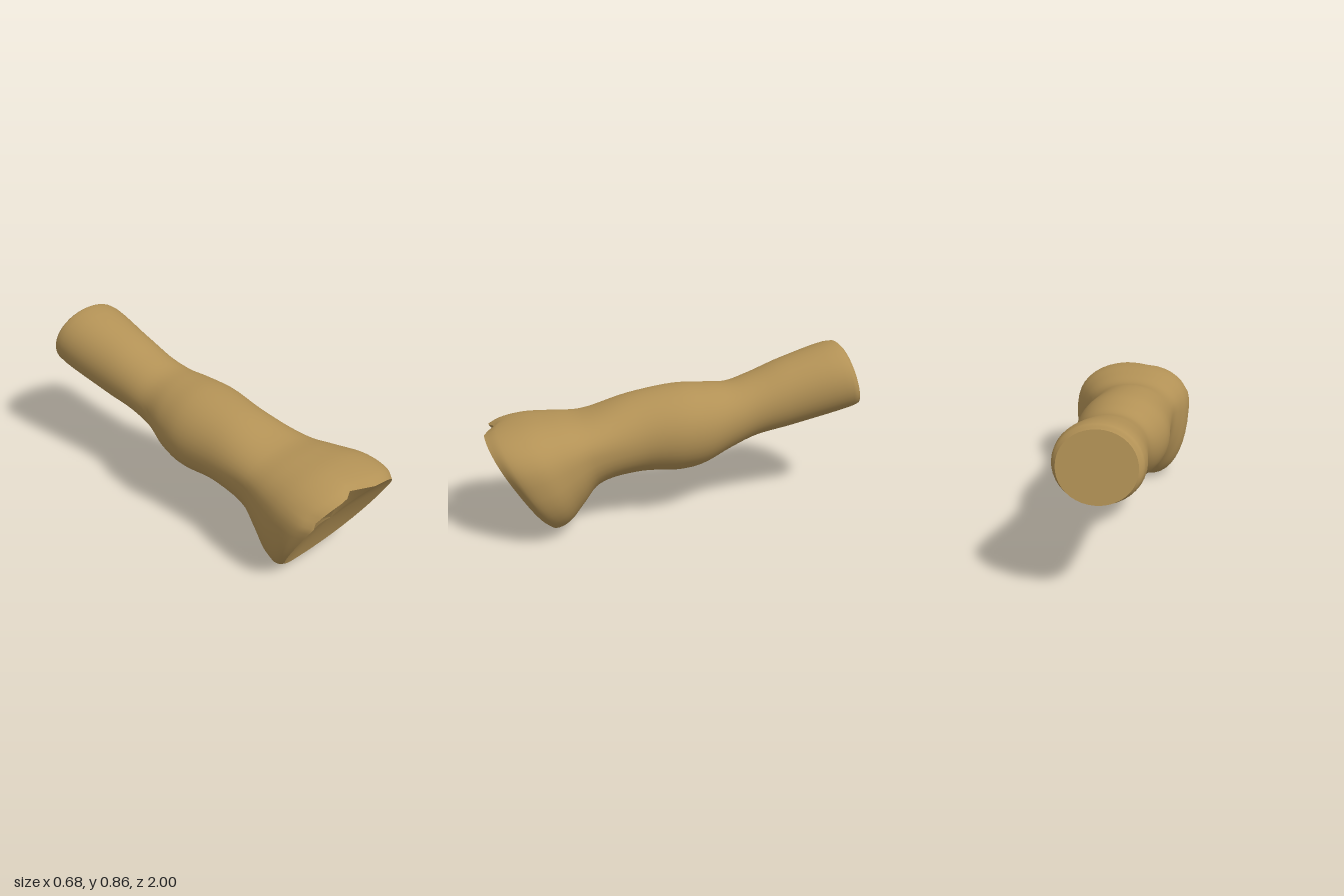
import * as THREE from 'three';

const SIDES = 40, STEPS = 5;

// Slanted cross-sections from front to back:
// z at top, z at bottom, left x, right x, bottom y, top y
const SECTIONS = [
  [1.0, 0.67, -0.27, 0.3, 0.012, 0.553],
  [0.94, 0.64, -0.305, 0.337, 0, 0.578],
  [0.8, 0.58, -0.31, 0.335, 0.03, 0.6],
  [0.65, 0.5, -0.29, 0.275, 0.12, 0.597],
  [0.5, 0.42, -0.27, 0.215, 0.21, 0.592],
  [0.25, 0.2, -0.285, 0.165, 0.255, 0.66],
  [0, 0, -0.31, 0.175, 0.245, 0.695],
  [-0.15, -0.12, -0.295, 0.16, 0.265, 0.692],
  [-0.28, -0.27, -0.262, 0.12, 0.335, 0.69],
  [-0.4, -0.42, -0.27, 0.09, 0.39, 0.72],
  [-0.6, -0.62, -0.3, 0.08, 0.425, 0.79],
  [-0.88, -0.96, -0.34, 0.08, 0.503, 0.855],
  [-0.91, -1.0, -0.318, 0.055, 0.515, 0.835],
];

// A closed outline through the four extremes of a section
function ring([zTop, zBottom, left, right, bottom, top], index) {
  // towards the flared end the bottom shifts left, the sides rise and the corners fill out
  const flare = THREE.MathUtils.clamp((zBottom - 0.2) / 0.4, 0, 1);
  const midX = (left + right) / 2, midY = (bottom + top) / 2 + 0.07 * flare;
  const power = 0.98 - 0.13 * flare;
  const points = [];
  for (let j = 0; j < SIDES; j++) {
    const a = (j / SIDES) * Math.PI * 2, c = Math.cos(a), s = Math.sin(a);
    const cx = s >= 0 ? midX : midX - 0.11 * flare;
    const x = cx + ((c >= 0 ? right : left) - cx) * Math.abs(c) ** power;
    const y = midY + ((s >= 0 ? top : bottom) - midY) * Math.abs(s) ** power;
    let z = THREE.MathUtils.mapLinear(y, bottom, top, zBottom, zTop);
    // small notch in the upper lip, with the left-hand lobe set slightly back
    if (index < 2 && y > 0.45) {
      z -= (index ? 0.02 : 0.045) * Math.exp(-(((x + 0.02) / 0.05) ** 2));
      if (x < -0.02) z -= 0.02;
    }
    points.push(new THREE.Vector3(x, y, z));
  }
  return points;
}

// Joins closed rings that run from front to back
function loft(rings) {
  const geometry = new THREE.BufferGeometry().setFromPoints(rings.flat());
  const index = [];
  for (let i = 0; i < rings.length - 1; i++) {
    for (let j = 0; j < SIDES; j++) {
      const k = (j + 1) % SIDES, a = i * SIDES, b = a + SIDES;
      index.push(a + j, b + j, a + k, a + k, b + j, b + k);
    }
  }
  geometry.setIndex(index);
  geometry.computeVertexNormals();
  return geometry;
}

// Rings shrinking from an edge to its centre, dished along z
function capRings(edge, dish) {
  const centre = new THREE.Vector3();
  edge.forEach((p) => centre.addScaledVector(p, 1 / SIDES));
  return [1, 0.85, 0.6, 0.3, 0.001].map((f) => edge.map((p) => {
    const q = centre.clone().lerp(p, f);
    q.z += dish * (1 - f * f);
    return q;
  }));
}

export function createModel() {
  const group = new THREE.Group();
  const material = new THREE.MeshStandardMaterial({ color: 0xb39256 });
  material.name = 'ochre';

  // Smooth the surface lengthwise through every section
  const base = SECTIONS.map(ring);
  const columns = base[0].map((_, j) =>
    new THREE.CatmullRomCurve3(base.map((r) => r[j])).getPoints((base.length - 1) * STEPS));
  const rings = columns[0].map((_, i) => columns.map((c) => c[i]));

  const add = (name, geometry) => {
    const mesh = new THREE.Mesh(geometry, material);
    mesh.name = name;
    group.add(mesh);
  };
  add('shaft', loft(rings));
  add('flaredEndFace', loft(capRings(base[0], -0.035).reverse()));
  add('narrowEndFace', loft(capRings(base[base.length - 1], 0)));
  return group;
}
